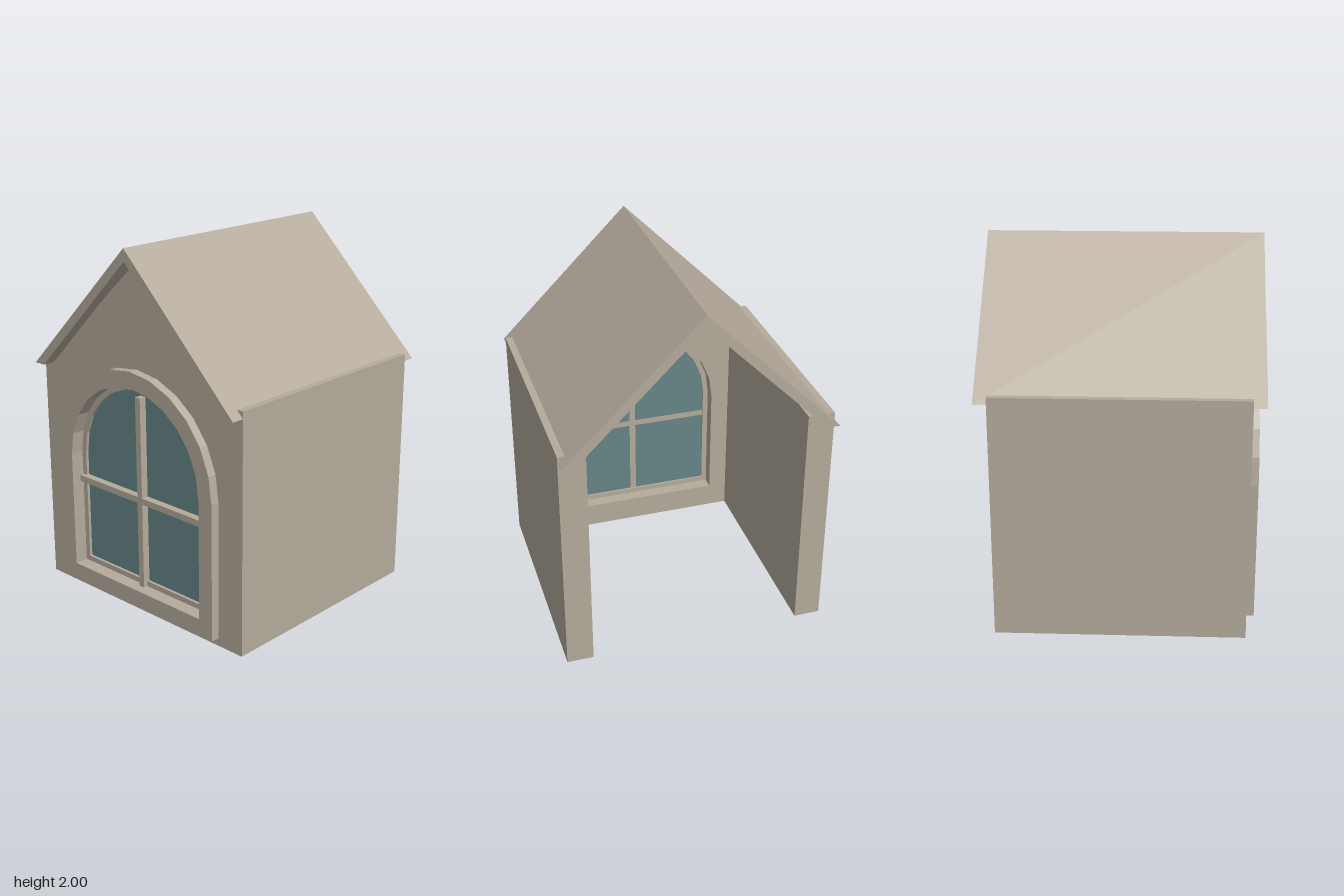
import * as THREE from 'three';

const stone = new THREE.MeshStandardMaterial({ color: 0xb5ab9c });
stone.name = 'stone';
const glass = new THREE.MeshStandardMaterial({ color: 0x668587 });
glass.name = 'glass';

const SPRING = 0.795; // height where the arch leaves its straight jambs

// Arched outline: straight jambs and a half circle in twelve facets
function archPoints(radius, bottom) {
  const points = [new THREE.Vector2(-radius, bottom), new THREE.Vector2(radius, bottom)];
  for (let i = 0; i <= 12; i++) {
    const a = (i * Math.PI) / 12;
    points.push(new THREE.Vector2(radius * Math.cos(a), SPRING + radius * Math.sin(a)));
  }
  return points;
}

function polygon(pairs) {
  return pairs.map(([x, y]) => new THREE.Vector2(x, y));
}

export function createModel() {
  const model = new THREE.Group();
  model.name = 'dormer';

  const add = (name, geometry, material = stone) => {
    const mesh = new THREE.Mesh(geometry, material);
    mesh.name = name;
    model.add(mesh);
  };

  // Extrudes an outline between two z positions, with an optional hole
  const slab = (name, outline, back, front, hole, material) => {
    const shape = new THREE.Shape(outline);
    if (hole) shape.holes.push(new THREE.Path(hole));
    const geometry = new THREE.ExtrudeGeometry(shape, { depth: front - back, bevelEnabled: false });
    add(name, geometry.translate(0, 0, back), material);
  };

  // Box given by its lower and upper corners
  const box = (name, [x0, y0, z0], [x1, y1, z1]) => {
    const geometry = new THREE.BoxGeometry(x1 - x0, y1 - y0, z1 - z0);
    add(name, geometry.translate((x0 + x1) / 2, (y0 + y1) / 2, (z0 + z1) / 2));
  };

  // Side walls; the back stays open
  box('leftWall', [0.585, 0, -0.66], [0.73, 1.31, 0.66]);
  box('rightWall', [-0.73, 0, -0.66], [-0.585, 1.31, 0.66]);

  // Front wall with the arched opening, and the gable above it
  const wall = polygon([[-0.585, 0], [0.585, 0], [0.585, 1.3], [-0.585, 1.3]]);
  slab('frontWall', wall, 0.53, 0.66, archPoints(0.48, 0.14));
  slab('gable', polygon([[-0.66, 1.3], [0.66, 1.3], [0, 1.912]]), 0.53, 0.66);

  // Pitched roof with eaves cut level
  slab('roof', polygon([
    [0, 2], [-0.73, 1.272], [-0.66, 1.272], [0, 1.932], [0.66, 1.272], [0.73, 1.272],
  ]), -0.73, 0.73);

  // Window surround, inner frame, pane and glazing bars
  slab('windowSurround', archPoints(0.57, 0.045), 0.66, 0.71, archPoints(0.48, 0.14));
  slab('windowFrame', archPoints(0.48, 0.14), 0.6, 0.635, archPoints(0.449, 0.17));
  slab('windowPane', archPoints(0.449, 0.17), 0.611, 0.619, null, glass);
  box('verticalBar', [-0.018, 0.14, 0.61], [0.018, 1.213, 0.66]);
  box('horizontalBar', [-0.475, 0.625, 0.61], [0.475, 0.66, 0.66]);

  return model;
}
